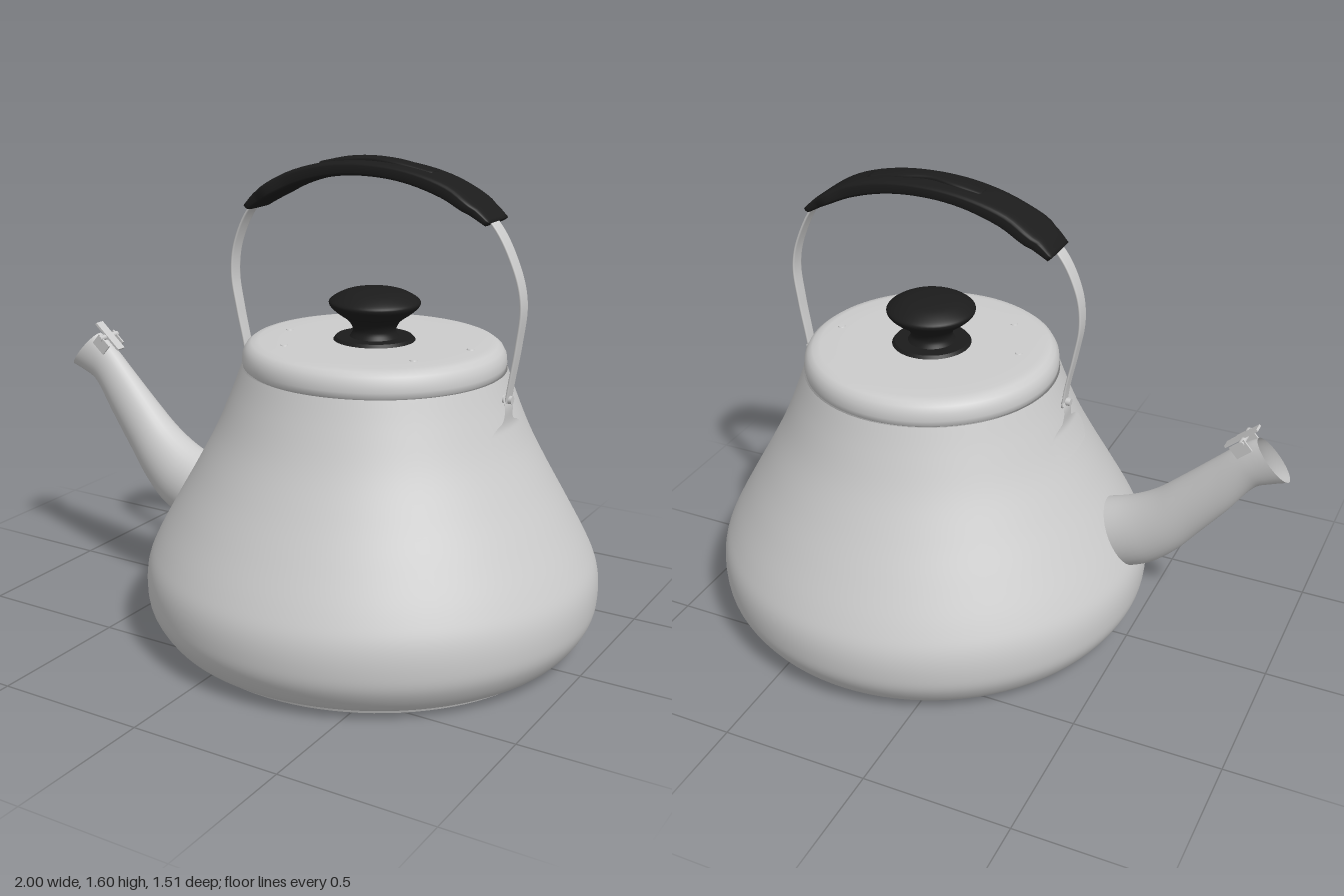
import * as THREE from 'three';

const AXIS = 0.24; // x of the kettle body's centre
const steel = new THREE.MeshStandardMaterial({ color: 0xcccccc, side: THREE.DoubleSide });
const black = new THREE.MeshStandardMaterial({ color: 0x1c1c1c, side: THREE.DoubleSide });

const v2 = (pts) => pts.map(([x, y]) => new THREE.Vector2(x, y));

function add(parent, name, geometry, material = steel, x = 0, y = 0, z = 0) {
  const mesh = new THREE.Mesh(geometry, material);
  mesh.name = name;
  mesh.position.set(x, y, z);
  parent.add(mesh);
  return mesh;
}

// Skin through sections [topX, topY, bottomX, bottomY, centreZ, halfWidth];
// power 1 gives ellipses, smaller values give rounded rectangles.
function loft(sections, { power = 1, steps = 40, sides = 32, caps = false } = {}) {
  const curve = (f) => new THREE.CatmullRomCurve3(sections.map((s) => new THREE.Vector3(...f(s))));
  const tops = curve((s) => [s[0], s[1], s[4]]);
  const bottoms = curve((s) => [s[2], s[3], s[4]]);
  const widths = curve((s) => [s[5], 0, 0]);
  const bend = (v) => Math.sign(v) * Math.abs(v) ** power;
  const pos = [], index = [];
  for (let i = 0; i <= steps; i++) {
    const t = i / steps;
    const a = tops.getPoint(t), b = bottoms.getPoint(t), w = widths.getPoint(t).x;
    const mid = a.clone().add(b).multiplyScalar(0.5), up = a.clone().sub(mid);
    for (let j = 0; j < sides; j++) {
      const ang = (j / sides) * Math.PI * 2;
      const p = mid.clone().addScaledVector(up, bend(Math.cos(ang)));
      pos.push(p.x, p.y, p.z + w * bend(Math.sin(ang)));
      const k = (j + 1) % sides, r = i * sides, n = r + sides;
      if (i < steps) index.push(r + j, r + k, n + j, r + k, n + k, n + j);
    }
  }
  if (caps) {
    for (const [row, flip] of [[0, false], [steps, true]]) {
      const a = tops.getPoint(row / steps), b = bottoms.getPoint(row / steps), c = pos.length / 3;
      pos.push((a.x + b.x) / 2, (a.y + b.y) / 2, a.z);
      for (let j = 0; j < sides; j++) {
        const p = row * sides + j, q = row * sides + ((j + 1) % sides);
        index.push(c, flip ? p : q, flip ? q : p);
      }
    }
  }
  const g = new THREE.BufferGeometry();
  g.setAttribute('position', new THREE.Float32BufferAttribute(pos, 3));
  g.setIndex(index);
  g.computeVertexNormals();
  return g;
}

export function createModel() {
  const kettle = new THREE.Group();
  kettle.name = 'kettle';

  // Body: flared pear profile
  const wall = new THREE.SplineCurve(v2([
    [0.64, 0.01], [0.695, 0.04], [0.742, 0.11], [0.755, 0.18], [0.748, 0.26], [0.715, 0.34],
    [0.65, 0.46], [0.58, 0.585], [0.515, 0.71], [0.465, 0.83], [0.432, 0.92],
  ])).getPoints(60);
  add(kettle, 'body', new THREE.LatheGeometry(wall, 96), steel, AXIS);
  add(kettle, 'base', new THREE.CylinderGeometry(0.645, 0.64, 0.012, 96), steel, AXIS, 0.006);

  // Lid with a rounded shoulder and a seam under its rim
  const lid = v2([
    [0.40, 0.915], [0.418, 0.915], [0.427, 0.922], [0.43, 0.94], [0.427, 0.965], [0.416, 0.985],
    [0.40, 0.997], [0.375, 1.002], [0.30, 1.003], [0, 1.003],
  ]);
  add(kettle, 'lid', new THREE.LatheGeometry(lid, 96), steel, AXIS);
  for (const [x, z] of [[0.04, 0.23], [0.48, 0.185], [-0.06, 0.04], [0.57, -0.03]]) {
    add(kettle, 'lidRivet', new THREE.CylinderGeometry(0.011, 0.013, 0.004, 16), steel, x, 1.004, z);
  }

  // Knob and its collar
  add(kettle, 'knobCollar', new THREE.CylinderGeometry(0.125, 0.135, 0.012, 48), black, AXIS, 1.007);
  const knob = new THREE.SplineCurve(v2([
    [0.082, 1.01], [0.07, 1.035], [0.085, 1.065], [0.125, 1.095], [0.147, 1.118],
    [0.142, 1.135], [0.10, 1.158], [0.05, 1.168], [0, 1.17],
  ])).getPoints(40);
  add(kettle, 'knob', new THREE.LatheGeometry(knob, 48), black, AXIS);

  // Spout, from the open lip down into the body
  const spout = [
    [-0.885, 0.885, -1.0, 0.755, 0.03, 0.046], [-0.86, 0.87, -0.945, 0.735, 0.03, 0.045],
    [-0.82, 0.84, -0.895, 0.71, 0.032, 0.047], [-0.74, 0.765, -0.81, 0.595, 0.037, 0.058],
    [-0.64, 0.67, -0.72, 0.48, 0.044, 0.073], [-0.55, 0.59, -0.64, 0.38, 0.05, 0.088],
    [-0.46, 0.535, -0.56, 0.31, 0.056, 0.1], [-0.34, 0.49, -0.45, 0.26, 0.06, 0.108],
  ];
  add(kettle, 'spout', loft(spout));

  // Hinged clip on the spout tip
  const clip = new THREE.Group();
  clip.name = 'spoutClip';
  clip.position.set(-0.835, 0.865, 0.032);
  clip.rotation.z = -0.72;
  add(clip, 'clipPlate', new THREE.BoxGeometry(0.13, 0.008, 0.036), steel, -0.01, 0.012);
  add(clip, 'clipPin', new THREE.CylinderGeometry(0.01, 0.01, 0.1, 16), steel, -0.015, 0.004).rotation.x = Math.PI / 2;
  for (const side of [-1, 1]) {
    add(clip, 'clipCheek', new THREE.BoxGeometry(0.06, 0.045, 0.006), steel, 0, -0.012, side * 0.04);
  }
  kettle.add(clip);

  // Bail: one flat strap bent from bracket to bracket, hidden inside the grip on top
  const bail = new THREE.CatmullRomCurve3([
    [-0.236, 0.86], [-0.245, 0.93], [-0.27, 1.05], [-0.288, 1.17], [-0.272, 1.28], [-0.2, 1.41],
    [-0.05, 1.5], [0.23, 1.555], [0.5, 1.515],
    [0.655, 1.43], [0.738, 1.29], [0.765, 1.18], [0.753, 1.05], [0.733, 0.93], [0.722, 0.86],
  ].map(([x, y]) => new THREE.Vector3(x, y, 0)));
  const strap = [];
  for (let i = 0; i <= 60; i++) {
    const p = bail.getPoint(i / 60), t = bail.getTangent(i / 60);
    const nx = -t.y * 0.004, ny = t.x * 0.004, rise = THREE.MathUtils.clamp((p.y - 0.86) / 0.55, 0, 1);
    strap.push([p.x + nx, p.y + ny, p.x - nx, p.y - ny, 0.015 + 0.01 * rise, 0.022 + 0.006 * rise]);
  }
  add(kettle, 'bailStrap', loft(strap, { power: 0.4, steps: 120, sides: 16, caps: true }));

  // Grip: thick in the middle, thin at the ends, with a raised thumb rest
  const grip = [
    [-0.215, 1.415, -0.195, 1.397], [-0.17, 1.462, -0.14, 1.427], [-0.06, 1.528, -0.03, 1.482],
    [0.08, 1.568, 0.1, 1.522], [0.23, 1.582, 0.23, 1.535], [0.39, 1.57, 0.37, 1.524],
    [0.53, 1.53, 0.5, 1.488], [0.63, 1.468, 0.6, 1.443], [0.672, 1.43, 0.652, 1.415],
  ].map((s, i) => [...s, 0.01, i % 8 ? 0.077 : 0.072]);
  add(kettle, 'grip', loft(grip, { power: 0.45, caps: true }), black);
  const rest = [
    [0.05, 1.567, 0.05, 1.55, 0.01, 0.025], [0.14, 1.587, 0.14, 1.56, 0.012, 0.034],
    [0.23, 1.595, 0.23, 1.57, 0.015, 0.026], [0.33, 1.588, 0.33, 1.56, 0.012, 0.034],
    [0.45, 1.562, 0.45, 1.545, 0.01, 0.025],
  ];
  add(kettle, 'thumbRest', loft(rest, { power: 0.7, caps: true }), black);

  // Brackets: paddle plates wrapped onto the wall, with a tab standing off at the rivet
  const radiusAt = (y) => {
    const i = Math.max(1, wall.findIndex((p) => p.y >= y));
    const a = wall[i - 1], b = wall[i];
    return THREE.MathUtils.lerp(a.x, b.x, (y - a.y) / (b.y - a.y));
  };
  // half-width of the paddle outline at a height
  const outline = new THREE.SplineCurve(v2([
    [0.085, 0.702], [0.112, 0.718], [0.122, 0.745], [0.11, 0.775], [0.075, 0.795],
    [0.04, 0.808], [0.03, 0.83], [0.03, 0.86], [0.028, 0.878], [0.012, 0.892],
  ]));
  for (const side of [-1, 1]) {
    const plate = new THREE.PlaneGeometry(1, 1, 16, 40);
    const p = plate.attributes.position;
    for (let i = 0; i < p.count; i++) {
      const o = outline.getPoint(p.getY(i) + 0.5), z = p.getX(i) * 2 * o.x;
      const lift = 0.008 + 0.027 * THREE.MathUtils.smoothstep(o.y, 0.78, 0.87);
      p.setXYZ(i, AXIS + side * (Math.sqrt(radiusAt(o.y) ** 2 - z * z) + lift), o.y, z + 0.017);
    }
    plate.computeVertexNormals();
    add(kettle, 'bracket', plate);
    const rivet = add(kettle, 'bracketRivet', new THREE.CylinderGeometry(0.013, 0.013, 0.03, 20),
      steel, AXIS + side * 0.484, 0.875, 0.017);
    rivet.rotation.z = Math.PI / 2;
  }
  return kettle;
}
